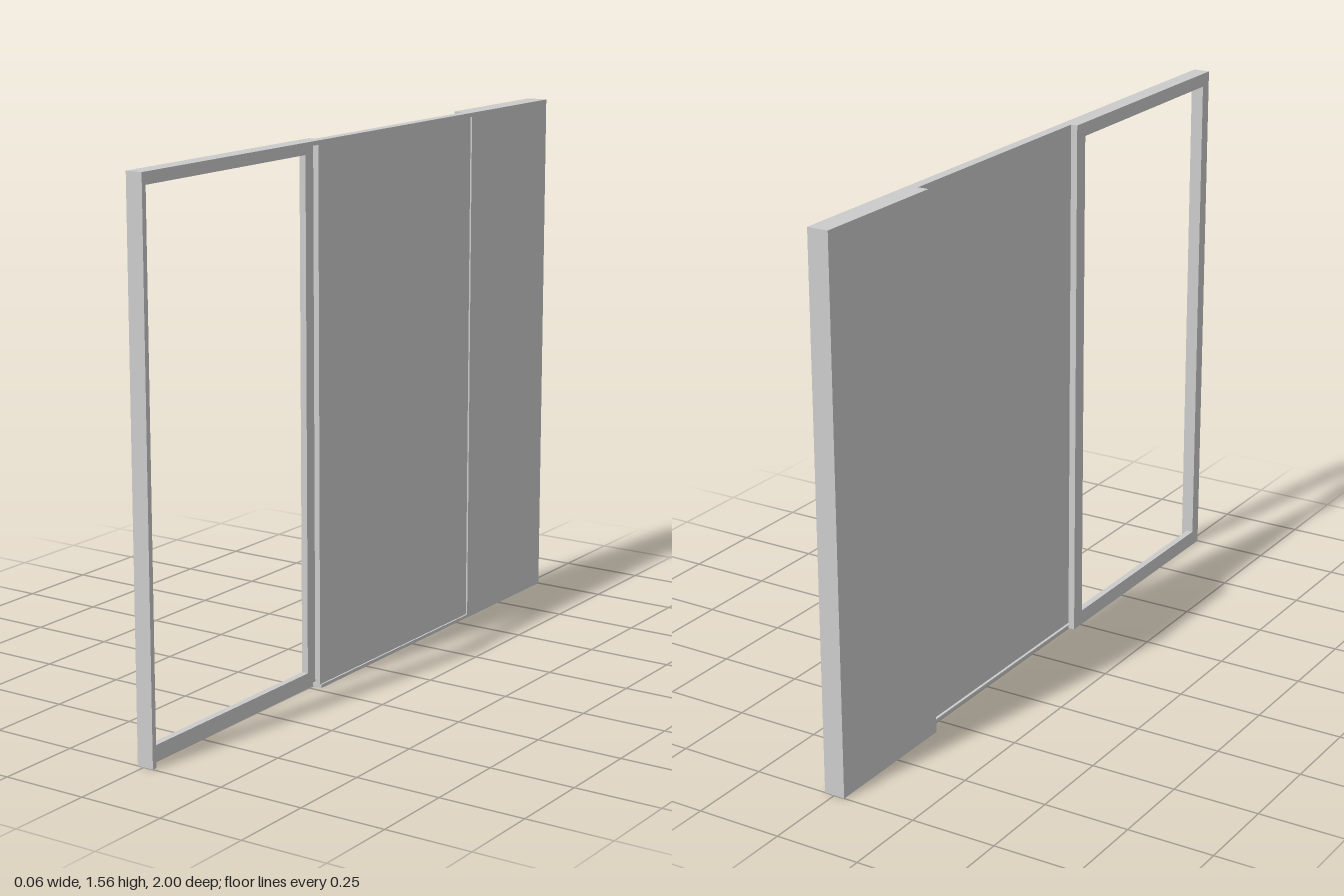
import * as THREE from 'three';

export function createModel() {
  const group = new THREE.Group();
  const grey = new THREE.MeshStandardMaterial({ color: 0xcccccc });
  grey.name = 'light grey';

  const add = (name, geometry) => {
    const mesh = new THREE.Mesh(geometry, grey);
    mesh.name = name;
    group.add(mesh);
    return mesh;
  };
  // box given by its limits on each axis
  const box = (name, [x0, x1], [y0, y1], [z0, z1]) => {
    add(name, new THREE.BoxGeometry(x1 - x0, y1 - y0, z1 - z0))
      .position.set((x0 + x1) / 2, (y0 + y1) / 2, (z0 + z1) / 2);
  };
  // rectangle as a closed path in (z, y)
  const rect = (path, z0, z1, y0, y1) => {
    path.moveTo(z0, y0);
    path.lineTo(z1, y0);
    path.lineTo(z1, y1);
    path.lineTo(z0, y1);
    path.closePath();
    return path;
  };

  const H = 1.56, FRONT = 0.03, WALL = -0.56, DOOR = 0.23;

  // thick pocket at the closed end
  box('pocketWall', [-0.032, FRONT], [0, H], [-1, WALL]);

  // sliding leaf, slightly recessed between its two rails
  box('slidingPanel', [0.008, 0.025], [0.01, H - 0.012], [WALL, DOOR]);
  box('bottomRail', [0, FRONT], [0, 0.01], [WALL, DOOR]);
  box('topRail', [0, FRONT], [H - 0.012, H], [WALL, 0.985]);

  // open doorway frame: z' = shape x, depth runs from x = -0.02 to 0
  const frame = rect(new THREE.Shape(), 0.21, 1, 0, H);
  frame.holes.push(rect(new THREE.Path(), 0.255, 0.963, 0.045, 1.52));
  const frameGeo = new THREE.ExtrudeGeometry(frame, { depth: 0.02, bevelEnabled: false });
  frameGeo.rotateY(-Math.PI / 2);
  add('doorwayFrame', frameGeo);

  // outer lip that the leaf closes against
  box('jambLip', [0, FRONT], [0, H], [0.985, 1]);

  return group;
}
